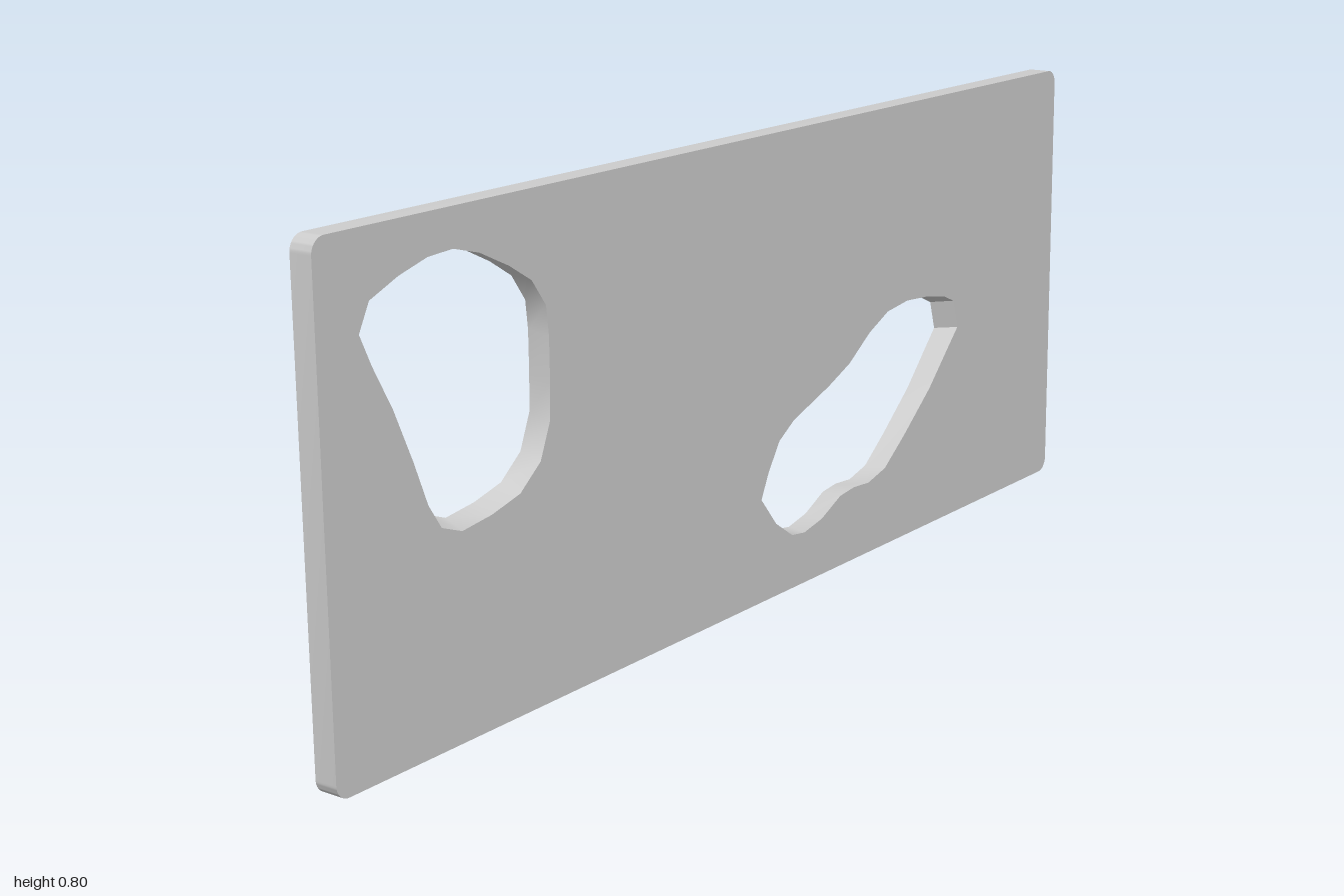
import * as THREE from 'three';
import { toCreasedNormals } from 'three/addons/utils/BufferGeometryUtils.js';

const THICK = 0.04, HEIGHT = 0.8, HALF = 1, R = 0.025;

// Hole outlines as [u, y] pairs, with u running towards -z.
// The far rim is scaled a little towards an anchor, so the walls taper.
const holes = [
  {
    anchor: [-0.53, 0.74], scale: [0.955, 0.975],
    rim: [[-0.918, 0.653], [-0.896, 0.696], [-0.837, 0.72], [-0.778, 0.736], [-0.725, 0.739],
      [-0.67, 0.724], [-0.607, 0.694], [-0.558, 0.664], [-0.527, 0.621], [-0.522, 0.573],
      [-0.522, 0.503], [-0.524, 0.444], [-0.548, 0.386], [-0.596, 0.348], [-0.66, 0.332],
      [-0.725, 0.324], [-0.768, 0.34], [-0.794, 0.38], [-0.821, 0.45], [-0.858, 0.535], [-0.896, 0.605]],
  },
  {
    anchor: [0.34, 0.09], scale: [0.945, 0.985],
    rim: [[0.02, 0.182], [0.041, 0.225], [0.073, 0.273], [0.116, 0.3], [0.223, 0.337],
      [0.287, 0.364], [0.351, 0.407], [0.41, 0.434], [0.475, 0.442], [0.544, 0.437],
      [0.603, 0.426], [0.635, 0.412], [0.651, 0.359], [0.619, 0.327], [0.555, 0.262],
      [0.47, 0.193], [0.405, 0.145], [0.351, 0.131], [0.303, 0.134], [0.26, 0.129],
      [0.202, 0.102], [0.148, 0.091], [0.111, 0.096], [0.063, 0.129]],
  },
];

function panelShape() {
  const s = new THREE.Shape();
  s.absarc(HALF - R, R, R, -Math.PI / 2, 0);
  s.absarc(HALF - R, HEIGHT - R, R, 0, Math.PI / 2);
  s.absarc(-HALF + R, HEIGHT - R, R, Math.PI / 2, Math.PI);
  s.absarc(-HALF + R, R, R, Math.PI, Math.PI * 1.5);
  s.closePath();
  for (const h of holes) s.holes.push(new THREE.Path(h.rim.map(([u, y]) => new THREE.Vector2(u, y))));
  return s;
}

export function createModel() {
  const group = new THREE.Group();
  let geo = new THREE.ExtrudeGeometry(panelShape(), { depth: THICK, bevelEnabled: false, curveSegments: 6 });
  const p = geo.attributes.position;

  for (let i = 0; i < p.count; i++) {
    let u = p.getX(i), y = p.getY(i);
    const w = p.getZ(i);
    // Taper the holes towards the -x face
    const inHole = Math.abs(u) < 0.95 && y > 0.05 && y < 0.76;
    if (inHole && w < THICK / 2) {
      const { anchor, scale } = holes[u < -0.3 ? 0 : 1];
      u = anchor[0] + (u - anchor[0]) * scale[0];
      y = anchor[1] + (y - anchor[1]) * scale[1];
    }
    // Stand the panel along z, with a very slight lean
    p.setXYZ(i, w - THICK / 2 - 0.0055 * (y - HEIGHT / 2) + 0.0025 * u, y, -u);
  }
  geo = toCreasedNormals(geo, 0.6);

  const panel = new THREE.Mesh(geo, new THREE.MeshStandardMaterial({ color: 0xcccccc }));
  panel.name = 'panelWithHoles';
  group.add(panel);
  return group;
}
